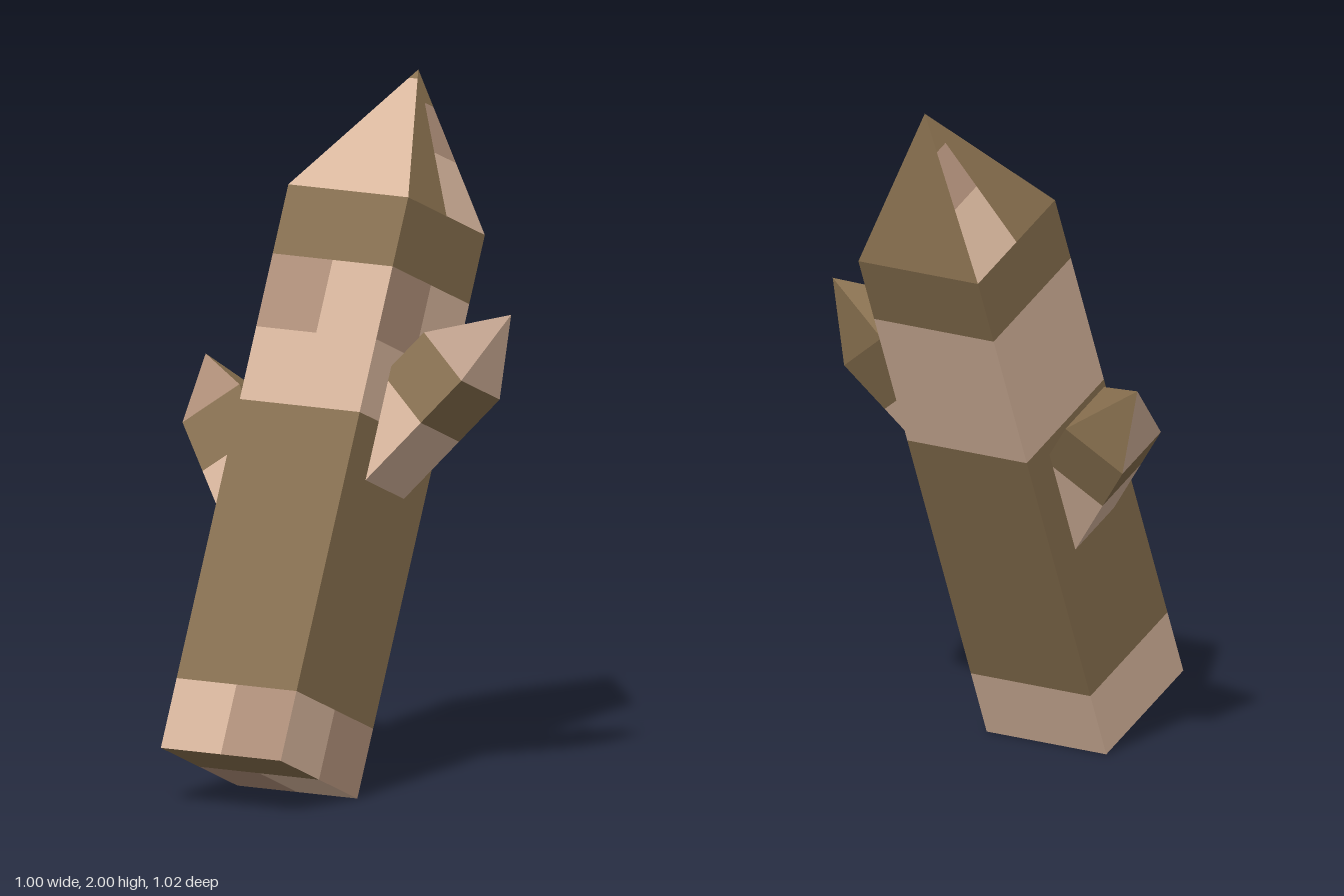
import * as THREE from 'three';

const makeMaterial = (name, color) => {
  const m = new THREE.MeshStandardMaterial({ color });
  m.name = name;
  return m;
};

// A square post with a pyramid point, tiled with flat colour panels.
// Sides: 0 front, 1 left (+x), 2 back, 3 right (-x); u runs -1..1 across a side seen from outside.
function makePost(name, half, body, point, materials) {
  const group = new THREE.Group();
  group.name = name;
  const panels = {};
  const put = (colour, a, b, c, d) => {
    (panels[colour] ??= []).push(...[a, b, c, a, c, d].flat());
  };
  const corner = (side, u, y) => {
    const w = y > body ? half * Math.max(0, 1 - (y - body) / point) : half;
    const v = new THREE.Vector3(u * w, y, w);
    v.applyAxisAngle(new THREE.Vector3(0, 1, 0), side * Math.PI / 2);
    return v.toArray();
  };
  const tile = (side, colour, y0, y1, u0 = -1, u1 = 1) =>
    put(colour, corner(side, u0, y0), corner(side, u1, y0), corner(side, u1, y1), corner(side, u0, y1));
  const base = (colour, x0, x1, z0, z1) =>
    put(colour, [x0, 0, z0], [x1, 0, z0], [x1, 0, z1], [x0, 0, z1]);
  const finish = () => {
    for (const [colour, points] of Object.entries(panels)) {
      const g = new THREE.BufferGeometry();
      g.setAttribute('position', new THREE.Float32BufferAttribute(points, 3));
      g.computeVertexNormals();
      const mesh = new THREE.Mesh(g, materials[colour]);
      mesh.name = `${name} ${colour} panels`;
      group.add(mesh);
    }
    return group;
  };
  return { tile, base, finish };
}

export function createModel() {
  const materials = {
    bark: makeMaterial('bark brown', 0x876f4e),
    light: makeMaterial('light wood', 0xd8b69d),
    dark: makeMaterial('dusky wood', 0xb1907a),
  };
  const model = new THREE.Group();
  model.name = 'leaning branched post';

  // Trunk
  const H = 0.207, body = 1.664, point = 0.414, top = body + point;
  const trunk = makePost('trunk', H, body, point, materials);
  for (let s = 0; s < 4; s++) {
    const patterned = s < 2;
    trunk.tile(s, 'light', 0, 0.206, -1, 0);
    trunk.tile(s, patterned ? 'dark' : 'light', 0, 0.206, 0, 1);
    trunk.tile(s, 'bark', 0.206, 1.03);
    trunk.tile(s, 'light', 1.03, 1.245);
    trunk.tile(s, patterned ? 'dark' : 'light', 1.245, 1.46, -1, 0);
    trunk.tile(s, 'light', 1.245, 1.46, 0, 1);
    trunk.tile(s, 'bark', 1.46, body);
  }
  // Trunk point: pale front, brown back, patches on the rear half of both sides
  trunk.tile(0, 'light', body, top - 0.03);
  trunk.tile(0, 'bark', top - 0.03, top);
  trunk.tile(2, 'bark', body, top);
  for (const [s, front, back] of [[1, [-1, 0], [0, 1]], [3, [0, 1], [-1, 0]]]) {
    trunk.tile(s, 'bark', body, top, ...front);
    trunk.tile(s, 'light', body, body + 0.18, ...back);
    trunk.tile(s, 'dark', body + 0.18, body + 0.32, ...back);
    trunk.tile(s, 'bark', body + 0.32, top, ...back);
  }
  // Trunk underside
  trunk.base('bark', -H, H, 0, H);
  trunk.base('dark', -H, 0, -H, 0);
  trunk.base('light', 0, H, -H, 0);

  const lean = new THREE.Group();
  lean.name = 'leaning assembly';
  lean.add(trunk.finish());

  // Side branches
  const h = 0.1035, len = 0.44, tip = 0.207, angle = THREE.MathUtils.degToRad(38);
  for (const [name, sign, tipY] of [['left branch', 1, 1.4], ['right branch', -1, 1.193]]) {
    const branch = makePost(name, h, len, tip, materials);
    const outer = sign > 0 ? 1 : 3;
    for (let s = 0; s < 4; s++) {
      branch.tile(s, 'light', 0, len - 0.17);
      branch.tile(s, 'bark', len - 0.17, len);
      branch.tile(s, s === 0 ? 'dark' : s === outer ? 'light' : 'bark', len, len + tip);
    }
    branch.base('light', -h, h, -h, h);
    const g = branch.finish();
    const reach = len + tip;
    g.rotation.z = -sign * angle;
    g.position.set(sign * (0.5 - reach * Math.sin(angle)), tipY - reach * Math.cos(angle), 0);
    lean.add(g);
  }

  lean.rotation.x = -Math.PI / 8;
  lean.position.set(0, 0.08, 0.32);
  model.add(lean);
  return model;
}
